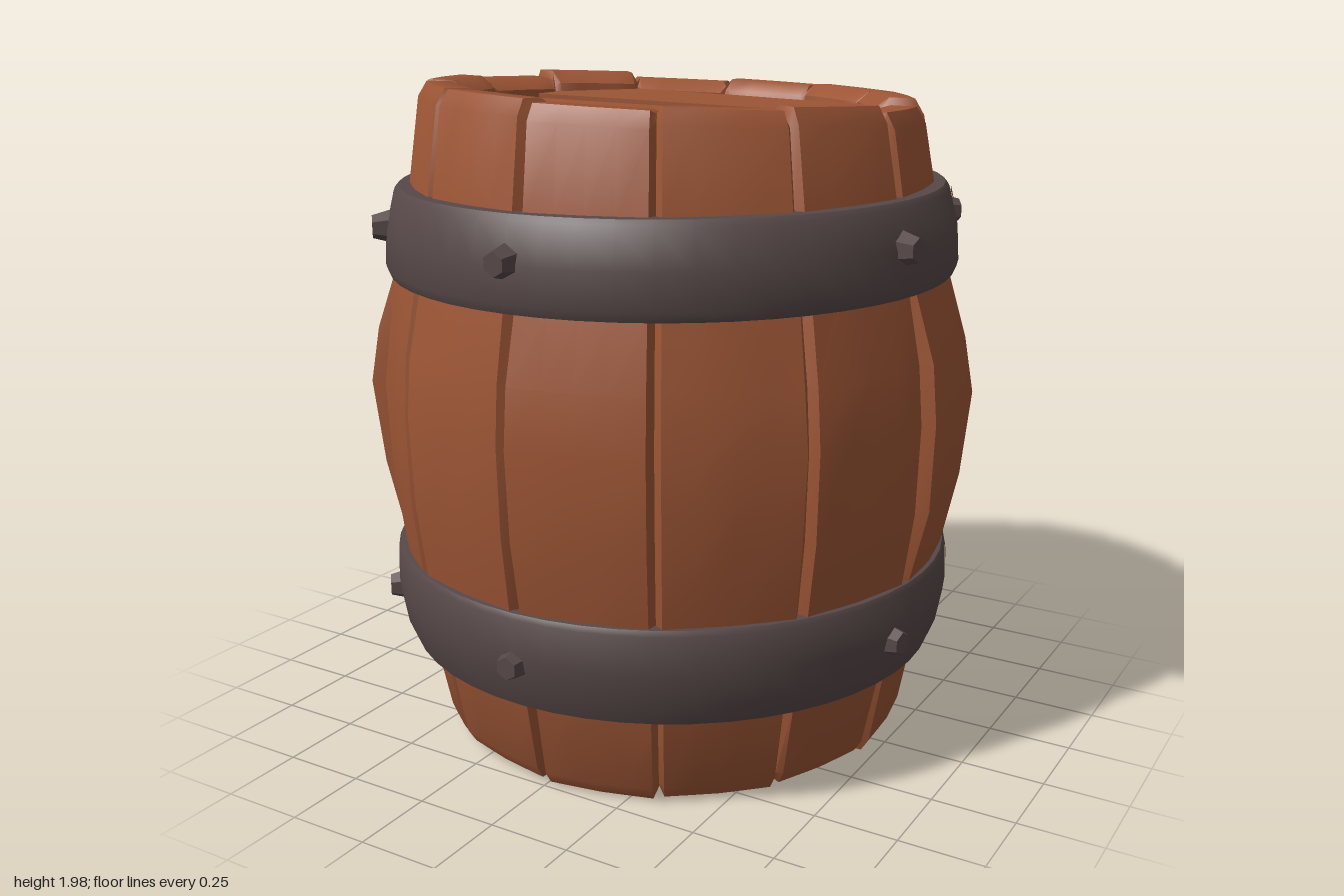
import * as THREE from 'three';
import { toCreasedNormals } from 'three/addons/utils/BufferGeometryUtils.js';

const STAVES = 13;
const STEP = (Math.PI * 2) / STAVES;
const rad = THREE.MathUtils.degToRad;

// small seeded generator for the hand-carved wobble
function seeded(seed) {
  return () => {
    seed = (seed * 16807) % 2147483647;
    return seed / 2147483647;
  };
}

// stave section as [radius, height]: inner foot, belly, rounded rim, inner lip
const STAVE = [
  [0.60, 0.14], [0.61, 0.06], [0.66, 0.025], [0.715, 0.03], [0.74, 0.07],
  [0.785, 0.31], [0.845, 0.58], [0.878, 0.82], [0.89, 1.08], [0.872, 1.25],
  [0.835, 1.44], [0.785, 1.69], [0.752, 1.92], [0.725, 1.965], [0.65, 1.965],
  [0.605, 1.93], [0.59, 1.85],
];

// how far each stave bulges at the belly
const BULGE = [0.01, 0.0, 0.005, 0.03, -0.025, -0.015, -0.01, 0.0, 0.03, 0.0, 0.035, -0.01, 0.0];

function staveGeometry(i, rnd) {
  const columns = [0, 0.045, 0.28, 0.5, 0.72, 0.955, 1];
  const endShift = (rnd() - 0.5) * 0.025;
  const rimShift = (rnd() - 0.5) * 0.02;
  const pos = [], index = [], rows = STAVE.length, n = columns.length;
  STAVE.forEach(([r0, y0], k) => {
    columns.forEach((t, j) => {
      const seam = j === 0 || j === n - 1;
      const a = (i + t) * STEP;
      const belly = Math.max(0, 1 - ((y0 - 1.03) / 0.43) ** 2);
      const inner = k < 2 || k > rows - 3;
      let r = r0, y = y0;
      if (seam) {
        r += inner ? 0.012 : -0.025;
        if (k === 2 || k === 3) y += 0.02;
        if (k === 13 || k === 14) y -= 0.02;
      } else {
        r += BULGE[i] * belly + (rnd() - 0.5) * 0.014 * belly;
        // flatten the face of each plank a little
        if (t > 0.2 && t < 0.8) r -= 0.008;
        if (y0 > 1.9 || y0 < 0.1) {
          y += y0 > 1 ? endShift : endShift * 0.5;
          r += rimShift;
        }
      }
      const x = Math.sin(a) * r, z = Math.cos(a) * r;
      // the rim slopes down to one side and to the back
      if (y0 > 1.8) y += -0.035 * x + 0.025 * z;
      if (y0 < 0.2) y += -0.01 * x;
      pos.push(x, Math.max(0, y), z);
    });
  });
  for (let k = 0; k < rows - 1; k++) {
    for (let j = 0; j < n - 1; j++) {
      const a = k * n + j, b = a + 1, c = b + n, d = a + n;
      index.push(a, b, c, a, c, d);
    }
  }
  const g = new THREE.BufferGeometry();
  g.setAttribute('position', new THREE.Float32BufferAttribute(pos, 3));
  g.setIndex(index);
  return toCreasedNormals(g, 0.7);
}

// lid of slanted planks cut to a circle
function createLid(name, material) {
  const lid = new THREE.Group();
  lid.name = name;
  const R = 0.615, gap = 0.006;
  const seams = [[-0.05, -2], [-0.08, -0.5], [-0.14, -0.2], [-0.05, 0.11], [0.12, 0.45], [0.12, 2]];
  for (let k = 0; k < seams.length - 1; k++) {
    const near = [], far = [];
    for (let s = 0; s <= 40; s++) {
      const x = -R * Math.cos((Math.PI * s) / 40);
      const h = Math.sqrt(Math.max(0, R * R - x * x));
      const z0 = Math.max(-h, seams[k][0] * x + seams[k][1] + gap);
      const z1 = Math.min(h, seams[k + 1][0] * x + seams[k + 1][1] - gap);
      if (z1 - z0 < 0.002) continue;
      near.push(new THREE.Vector2(x, -z1));
      far.unshift(new THREE.Vector2(x, -z0));
    }
    const g = new THREE.ExtrudeGeometry(new THREE.Shape([...near, ...far]), { depth: 0.05, bevelEnabled: false });
    g.rotateX(-Math.PI / 2);
    const plank = new THREE.Mesh(g, material);
    plank.name = 'lidPlank';
    plank.position.y = -0.05 + (k % 2) * 0.012;
    lid.add(plank);
  }
  const backing = new THREE.Mesh(new THREE.CylinderGeometry(R, R, 0.02, 32), material);
  backing.name = 'lidBacking';
  backing.position.y = -0.035;
  lid.add(backing);
  return lid;
}

// worn notch at the upper edge of a band, showing wood
function chipGeometry(top, low, angle, width) {
  const lift = 0.004;
  const pts = [new THREE.Vector2(low[0] + lift, low[1]), new THREE.Vector2(top[0] + lift, top[1])];
  const g = new THREE.LatheGeometry(pts, 5, angle - width / 2, width);
  const p = g.attributes.position;
  [0.8, 0.3, 0.45, 0, 0.25, 0.8].forEach((f, c) => {
    const a = new THREE.Vector3().fromBufferAttribute(p, c * 2);
    const b = new THREE.Vector3().fromBufferAttribute(p, c * 2 + 1);
    a.lerp(b, f);
    p.setXYZ(c * 2, a.x, a.y, a.z);
  });
  g.computeVertexNormals();
  return g;
}

export function createModel() {
  const wood = new THREE.MeshStandardMaterial({ color: 0x9c5535 });
  wood.name = 'wood';
  const iron = new THREE.MeshStandardMaterial({ color: 0x574848 });
  iron.name = 'iron';

  const model = new THREE.Group();
  model.name = 'barrel';
  const body = new THREE.Group();
  body.name = 'body';
  body.position.z = 0.02;
  model.add(body);

  const add = (parent, name, geometry, material) => {
    const mesh = new THREE.Mesh(geometry, material);
    mesh.name = name;
    parent.add(mesh);
    return mesh;
  };

  // staves
  const rnd = seeded(4711);
  for (let i = 0; i < STAVES; i++) add(body, 'stave', staveGeometry(i, rnd), wood);

  // lids
  const topLid = createLid('topLid', wood);
  topLid.position.y = 1.89;
  topLid.rotation.set(0.025, 0, -0.035);
  const bottomLid = createLid('bottomLid', wood);
  bottomLid.position.y = 0.1;
  bottomLid.rotation.x = Math.PI;
  body.add(topLid, bottomLid);

  // iron bands with rivets and worn chips
  const bands = [
    { name: 'lowerBand', rivetY: 0.45, tilt: 0, profile: [[0.77, 0.305], [0.825, 0.31], [0.85, 0.37], [0.868, 0.47], [0.864, 0.585], [0.855, 0.6], [0.82, 0.602]] },
    { name: 'upperBand', rivetY: 1.585, tilt: -0.012, profile: [[0.80, 1.445], [0.85, 1.447], [0.862, 1.475], [0.855, 1.58], [0.828, 1.69], [0.815, 1.705], [0.76, 1.705]] },
  ];
  for (const { name, rivetY, tilt, profile } of bands) {
    const band = new THREE.Group();
    band.name = name;
    band.rotation.x = -tilt;
    band.position.z = tilt * 1.58;
    body.add(band);
    const hoop = new THREE.LatheGeometry(profile.map(([r, y]) => new THREE.Vector2(r, y)), 52);
    add(band, 'hoop', toCreasedNormals(hoop, 0.8), iron);

    for (const deg of [0, 78, 127, 177, 268, 311]) {
      const g = new THREE.CylinderGeometry(0.034, 0.056, 0.08, 6).toNonIndexed();
      g.computeVertexNormals();
      g.rotateX(Math.PI / 2);
      const rivet = add(band, 'rivet', g, iron);
      const a = rad(deg);
      rivet.position.set(Math.sin(a) * 0.855, rivetY, Math.cos(a) * 0.855);
      rivet.rotation.y = a;
    }

    const top = profile[4], shoulder = profile[3];
    const low = [0.5, 0.5].map((_, c) => top[c] + (shoulder[c] - top[c]) * 0.5);
    for (const [deg, width] of [[112, 0.17], [150, 0.08], [217, 0.1]]) {
      add(band, 'wornChip', chipGeometry(top, low, rad(deg), width), wood);
    }
  }

  // bung on the back
  const bungShape = new THREE.CylinderGeometry(0.095, 0.105, 0.16, 7);
  bungShape.rotateX(-Math.PI / 2);
  const bung = add(model, 'bung', toCreasedNormals(bungShape, 0.5), wood);
  bung.position.set(0.07, 1.0, -0.84);

  return model;
}
